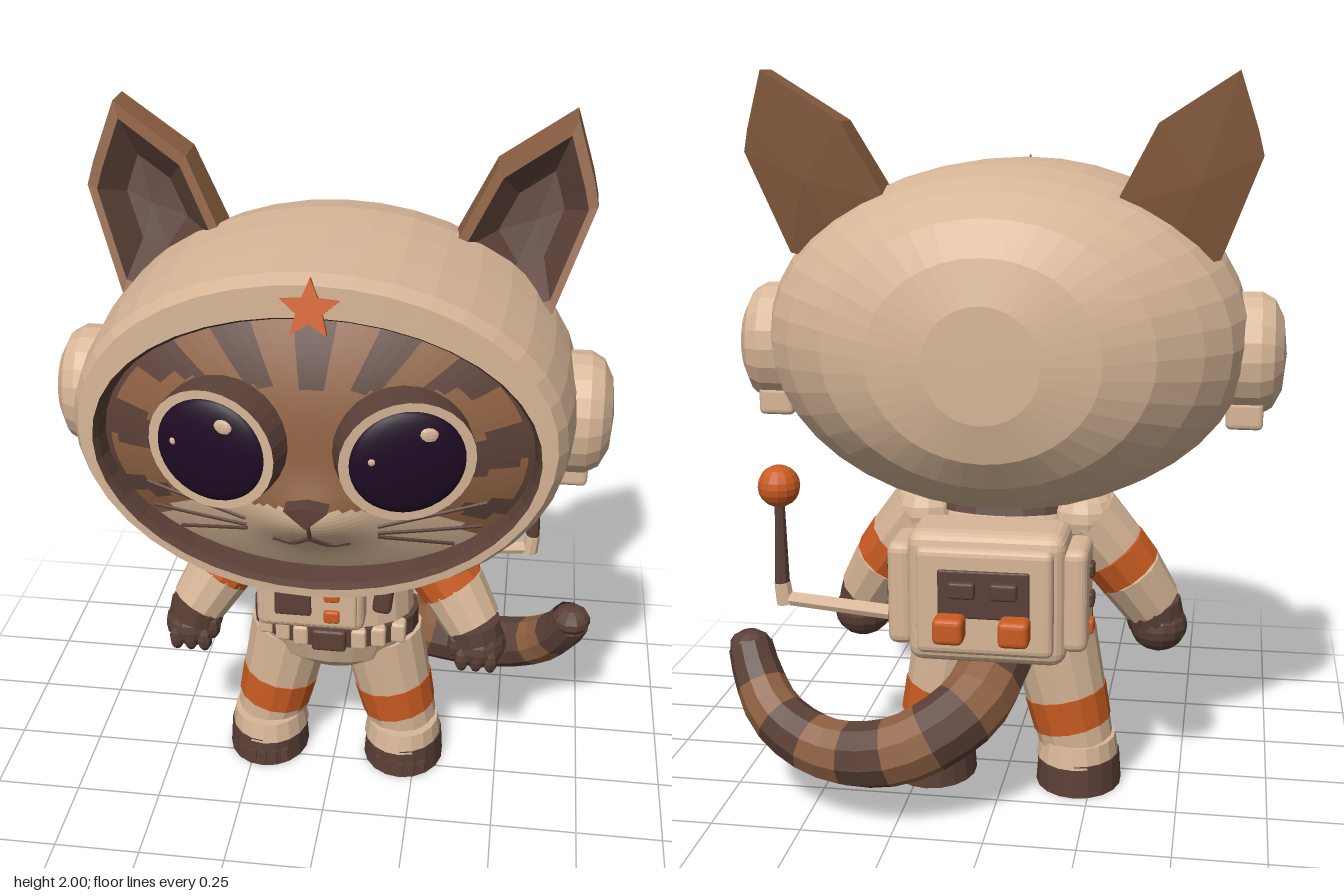
import * as THREE from 'three';
import { RoundedBoxGeometry } from 'three/addons/geometries/RoundedBoxGeometry.js';

const paint = (name, color, flat = true) =>
  Object.assign(new THREE.MeshStandardMaterial({ color, flatShading: flat, side: THREE.DoubleSide }), { name });
const suit = paint('suit beige', 0xd8b798);
const fur = paint('fur brown', 0x8d6042);
const dark = paint('dark brown', 0x5b4037);
const orange = paint('orange', 0xcb5c22);
const pupilMat = paint('pupil', 0x1f0b24, false);
const V = (x, y, z) => new THREE.Vector3(x, y, z);

export function createModel() {
  const root = new THREE.Group();
  root.name = 'astronautCat';

  const add = (name, geo, mat, x = 0, y = 0, z = 0, parent = root) => {
    const m = new THREE.Mesh(geo, mat);
    m.name = name;
    m.position.set(x, y, z);
    parent.add(m);
    return m;
  };
  const box = (name, mat, w, h, d, x, y, z, r = 0, parent = root) =>
    add(name, r ? new RoundedBoxGeometry(w, h, d, 2, r) : new THREE.BoxGeometry(w, h, d), mat, x, y, z, parent);
  // tapered cylinder between two points
  const limb = (name, mat, p, q, rp, rq, sides = 12) => {
    const dir = q.clone().sub(p), mid = p.clone().add(q).multiplyScalar(0.5);
    const m = add(name, new THREE.CylinderGeometry(rq, rp, dir.length(), sides), mat, mid.x, mid.y, mid.z);
    m.quaternion.setFromUnitVectors(V(0, 1, 0), dir.normalize());
    return m;
  };
  const ball = (name, mat, x, y, z, rx, ry, rz, parent = root, seg = 14) => {
    const m = add(name, new THREE.SphereGeometry(1, seg, Math.ceil(seg * 0.7)), mat, x, y, z, parent);
    m.scale.set(rx, ry, rz);
    return m;
  };
  // skin closed rings of points; pick(step, midpoint) gives the index of the material
  const loft = (name, rings, mats, pick) => {
    const n = rings[0].length, faces = mats.map(() => []);
    for (let i = 0; i < rings.length - 1; i++) for (let j = 0; j < n; j++) {
      const k = (j + 1) % n, a = i * n + j, b = i * n + k, c = a + n, d = b + n;
      const mid = rings[i][j].clone().add(rings[i + 1][k]).multiplyScalar(0.5);
      faces[pick(i, mid)].push(a, c, b, b, c, d);
    }
    const geo = new THREE.BufferGeometry().setFromPoints(rings.flat());
    geo.setIndex(faces.flat());
    let start = 0;
    faces.forEach((f, i) => { geo.addGroup(start, f.length, i); start += f.length; });
    geo.computeVertexNormals();
    return add(name, geo, mats);
  };
  const oval = (n, a, cy, b, zAt) => Array.from({ length: n }, (_, j) => {
    const t = j / n * Math.PI * 2, x = a * Math.cos(t), y = cy + b * Math.sin(t);
    return V(x, y, zAt(x, y));
  });

  // helmet: recess, lip, shell, back cap as z, half width, centre y, half height
  const shell = [[0.27, 0.54, 1.27, 0.36], [0.39, 0.562, 1.27, 0.373], [0.412, 0.572, 1.272, 0.383],
    [0.41, 0.61, 1.30, 0.436], [0.36, 0.635, 1.293, 0.458], [0.2, 0.652, 1.29, 0.468], [0.05, 0.66, 1.29, 0.471],
    [-0.1, 0.657, 1.29, 0.468], [-0.23, 0.615, 1.29, 0.444], [-0.32, 0.545, 1.295, 0.408], [-0.42, 0.43, 1.3, 0.345],
    [-0.48, 0.3, 1.295, 0.26], [-0.508, 0.15, 1.29, 0.15], [-0.512, 0, 1.29, 0]];
  loft('helmet', shell.map(([z, a, cy, b], i) =>
    oval(40, a, cy, b, x => z - (i < 5 ? 0.04 * (x / 0.6) ** 2 : 0))), [suit, dark], i => (i < 2 ? 1 : 0));

  // face: shallow dome with muzzle bump and fur markings
  const faceZ = (x, y) => 0.44 - 0.14 * ((x / 0.58) ** 2 + ((y - 1.27) / 0.39) ** 2)
    + 0.06 * Math.exp(-((x / 0.15) ** 2) - ((y - 1.12) / 0.1) ** 2);
  const marking = (i, p) => {
    if ((p.x / 0.42) ** 2 + ((p.y - 1.0) / 0.165) ** 2 < 1) return 2;
    const dy = p.y - 1.27, r = Math.hypot(p.x / 0.58, dy / 0.39);
    const ray = Math.abs(Math.sin(Math.atan2(p.x, dy + 0.12) * 7.5));
    if (p.y > 1.46 || (Math.abs(p.x) > 0.38 && p.y > 1.1)) return ray > 0.72 && r < 0.92 ? 0 : 1;
    return 0;
  };
  loft('face', Array.from({ length: 31 }, (_, i) => oval(90, 0.575 * i / 30, 1.27, 0.385 * i / 30, faceZ)),
    [fur, dark, suit], marking);

  // nose, mouth
  const nose = new THREE.Shape([[-0.055, 1.185], [0, 1.135], [0.055, 1.185], [0, 1.195]].map(p => new THREE.Vector2(...p)));
  add('nose', new THREE.ExtrudeGeometry(nose, { depth: 0.05, bevelEnabled: false }), dark, 0, 0, 0.475);
  const line = (name, pts, r = 0.006) =>
    add(name, new THREE.TubeGeometry(new THREE.CatmullRomCurve3(pts.map(([x, y]) => V(x, y, faceZ(x, y) + 0.008))), 8, r, 5), dark);
  line('mouthLine', [[0, 1.15], [0, 1.07]]);

  for (const s of [1, -1]) {
    line('mouthCurve', [[0, 1.07], [s * 0.05, 1.035], [s * 0.1, 1.045]]);
    for (const [y0, x1, y1] of [[1.1, 0.44, 1.15], [1.075, 0.43, 1.07], [1.06, 0.36, 1.01]])
      line('whisker', [[s * 0.17, y0], [s * (0.17 + x1) / 2, (y0 + y1) / 2], [s * x1, y1]], 0.005);

    // eye: rimmed disc, domed pupil, highlights
    const eye = new THREE.Group();
    eye.name = 'eye';
    eye.position.set(s * 0.24, 1.31, 0.445);
    eye.rotation.y = s * 0.26;
    root.add(eye);
    const rim = add('eyeRim', new THREE.CylinderGeometry(0.172, 0.178, 0.09, 28), [dark, suit, suit], 0, 0, -0.025, eye);
    rim.rotation.x = Math.PI / 2;
    rim.scale.z = 0.94;
    ball('pupil', pupilMat, 0, 0, 0.015, 0.148, 0.14, 0.035, eye, 28);
    ball('highlight', suit, 0.045, 0.08, 0.038, 0.026, 0.021, 0.008, eye, 10);
    ball('smallHighlight', suit, -0.092, 0.018, 0.04, 0.01, 0.01, 0.006, eye, 8);

    // ear: thick leaning slab with a hollow front
    let outline = [[0.61, 2.0], [0.41, 1.87], [0.3, 1.66], [0.42, 1.48], [0.575, 1.52], [0.675, 1.79], [0.66, 1.85]];
    if (s < 0) outline = outline.reverse();
    const earRing = (k, z0, slope) => outline.map(([x, y]) => {
      const ex = 0.52 + (x - 0.52) * k, ey = 1.72 + (y - 1.72) * k;
      return V(s * ex, ey, z0 + slope * (ey - 1.55));
    });
    loft('ear', [earRing(0, -0.13, -0.25), earRing(0.45, -0.12, -0.27), earRing(0.84, -0.025, -0.31),
      earRing(1, -0.02, -0.31), earRing(1, -0.16, -0.22), earRing(0, -0.18, -0.2)], [fur, dark], i => (i < 2 ? 1 : 0));

    // ear pod and its bracket
    const pod = add('earPod', new THREE.LatheGeometry([[0.153, 0], [0.153, 0.085], [0.135, 0.12], [0.09, 0.145], [0, 0.155]]
      .map(p => new THREE.Vector2(...p)), 20), suit, s * 0.603, 1.25, 0.003);
    pod.rotation.z = -s * Math.PI / 2;
    pod.scale.x = 1.1;
    box('podBracket', suit, 0.1, 0.08, 0.17, s * 0.65, 1.095, -0.015, 0.015);

    // arm with orange band
    const sh = V(s * 0.22, 0.8, -0.09), b0 = V(s * 0.298, 0.70, -0.07), b1 = V(s * 0.345, 0.635, -0.055), wr = V(s * 0.41, 0.53, -0.025);
    ball('shoulder', suit, sh.x, sh.y, sh.z, 0.1, 0.09, 0.105);
    limb('upperArm', suit, sh, b0, 0.105, 0.1);
    limb('armBand', orange, b0, b1, 0.102, 0.099);
    limb('foreArm', suit, b1, wr, 0.097, 0.085);
    // glove
    limb('gloveCuff', dark, wr, V(s * 0.425, 0.47, -0.02), 0.083, 0.08);
    ball('glove', dark, s * 0.43, 0.465, -0.02, 0.082, 0.075, 0.085);
    for (let i = 0; i < 3; i++) ball('finger', dark, s * (0.385 + i * 0.042), 0.44, 0.035, 0.023, 0.042, 0.03, root, 8);
    ball('thumb', dark, s * 0.365, 0.475, 0.015, 0.026, 0.045, 0.03, root, 8);

    // leg with orange band
    const at = t => V(s * (0.135 + 0.07 * t), 0.45 - 0.32 * t, -0.08);
    limb('thigh', suit, at(0), at(0.54), 0.125, 0.115, 14);
    limb('legBand', orange, at(0.54), at(0.84), 0.118, 0.112, 14);
    limb('shin', suit, at(0.84), at(1), 0.109, 0.106, 14);
    // boot
    const upper = add('bootUpper', new THREE.CylinderGeometry(0.108, 0.118, 0.06, 18), suit, s * 0.208, 0.112, -0.07);
    const sole = add('bootSole', new THREE.CylinderGeometry(0.116, 0.122, 0.092, 18), dark, s * 0.212, 0.046, -0.07);
    upper.scale.z = sole.scale.z = 1.15;
    for (let i = -2; i <= 2; i++)
      box('toeCleat', dark, 0.022, 0.04, 0.03, s * 0.212 + i * 0.032, 0.032, 0.06 - 0.006 * i * i);
    // belt pouches
    for (const x of [0.085, 0.14, 0.195]) box('beltPouch', suit, 0.045, 0.065, 0.05, s * x, 0.515, 0.085 - x * x * 1.6, 0.01);
    // shoulder pads of the pack
    box('packSideModule', suit, 0.07, 0.28, 0.17, s * 0.23, 0.66, -0.345, 0.025);
    for (const [y, m] of [[0.73, dark], [0.65, dark], [0.575, orange]])
      box('sideButton', m, 0.02, 0.04, 0.045, s * 0.267, y, -0.35, 0.008);
    // pack back controls
    box('packKnob', orange, 0.08, 0.07, 0.07, s * 0.085, 0.6, -0.5, 0.015);
    box('packSwitch', dark, 0.07, 0.045, 0.03, s * 0.055, 0.7, -0.48, 0.008);
  }

  // torso, neck ring and belt
  const turned = (name, mat, pts) => {
    const m = add(name, new THREE.LatheGeometry(pts.map(p => new THREE.Vector2(...p)), 20), mat, 0, 0, -0.065);
    m.scale.z = 0.66;
  };
  turned('torso', suit, [[0, 0.35], [0.11, 0.355], [0.2, 0.41], [0.235, 0.48], [0.23, 0.6], [0.225, 0.72], [0.21, 0.8], [0.17, 0.87]]);
  turned('belt', dark, [[0.23, 0.482], [0.247, 0.485], [0.247, 0.545], [0.23, 0.548]]);
  turned('neckRing', dark, [[0.19, 0.815], [0.215, 0.82], [0.2, 0.85], [0.18, 0.855]]);
  box('buckle', dark, 0.1, 0.07, 0.03, 0, 0.515, 0.1, 0.01);

  // chest control panel
  box('chestPanel', suit, 0.31, 0.23, 0.1, -0.047, 0.7, 0.115, 0.028);
  box('panelFace', suit, 0.27, 0.19, 0.02, -0.047, 0.7, 0.162, 0.009);
  box('panelScreen', dark, 0.105, 0.1, 0.02, -0.093, 0.692, 0.17, 0.008);
  for (const y of [0.715, 0.645]) box('panelButton', orange, 0.045, 0.04, 0.025, 0.018, y, 0.172, 0.008);
  for (const x of [-0.16, 0.065]) box('panelStud', dark, 0.015, 0.015, 0.015, x, 0.765, 0.168);
  box('chestStrap', dark, 0.055, 0.2, 0.06, 0.162, 0.715, 0.075, 0.015).rotation.z = -0.12;

  // paw patch on the left shoulder
  ball('patchPad', dark, 0.275, 0.75, 0.016, 0.028, 0.022, 0.012, root, 10);
  for (const [x, y] of [[-0.036, 0.02], [-0.014, 0.043], [0.014, 0.043], [0.036, 0.02]])
    ball('patchToe', dark, 0.275 + x, 0.75 + y, 0.014 - Math.abs(x) * 0.2, 0.011, 0.013, 0.012, root, 8);

  // star on the helmet rim
  const star = new THREE.Shape(Array.from({ length: 10 }, (_, i) => {
    const r = i % 2 ? 0.034 : 0.076, t = Math.PI / 2 + i * Math.PI / 5;
    return new THREE.Vector2(r * Math.cos(t), r * Math.sin(t));
  }));
  add('star', new THREE.ExtrudeGeometry(star, { depth: 0.015, bevelEnabled: false }), orange, 0, 1.68, 0.42).rotation.x = -0.3;

  // backpack
  box('pack', suit, 0.42, 0.36, 0.2, 0, 0.66, -0.345, 0.04);
  box('packLid', suit, 0.36, 0.29, 0.05, 0, 0.66, -0.445, 0.02);
  box('packPanel', dark, 0.24, 0.13, 0.02, 0, 0.685, -0.466, 0.006);

  // antenna
  limb('antennaArm', suit, V(0.22, 0.575, -0.345), V(0.565, 0.605, -0.345), 0.022, 0.02, 8);
  limb('antennaElbow', suit, V(0.565, 0.59, -0.345), V(0.572, 0.65, -0.345), 0.025, 0.023, 8);
  limb('antennaStem', dark, V(0.572, 0.64, -0.345), V(0.572, 0.9, -0.345), 0.021, 0.013, 8);
  ball('antennaBall', orange, 0.572, 0.92, -0.345, 0.057, 0.057, 0.057);

  // striped tail, tapered at the tip
  const path = new THREE.CatmullRomCurve3([V(0, 0.42, -0.18), V(0.06, 0.32, -0.36), V(0.24, 0.22, -0.435),
    V(0.44, 0.2, -0.41), V(0.6, 0.26, -0.345), V(0.68, 0.36, -0.27), V(0.705, 0.42, -0.24)]);
  const steps = 18, sides = 10;
  const tail = new THREE.TubeGeometry(path, steps, 1, sides), pos = tail.attributes.position;
  for (let k = 0; k < pos.count; k++) {
    const t = Math.floor(k / (sides + 1)) / steps, c = path.getPointAt(t);
    const p = V().fromBufferAttribute(pos, k).sub(c).multiplyScalar(0.1 - 0.038 * t ** 2).add(c);
    pos.setXYZ(k, p.x, p.y, p.z);
  }
  tail.clearGroups();
  for (let j = 0; j < steps; j++) tail.addGroup(j * sides * 6, sides * 6, Math.floor(j / 2) % 2);
  tail.computeVertexNormals();
  add('tail', tail, [dark, fur]);
  ball('tailTip', dark, 0.705, 0.42, -0.24, 0.06, 0.045, 0.06, root, 10);

  return root;
}
